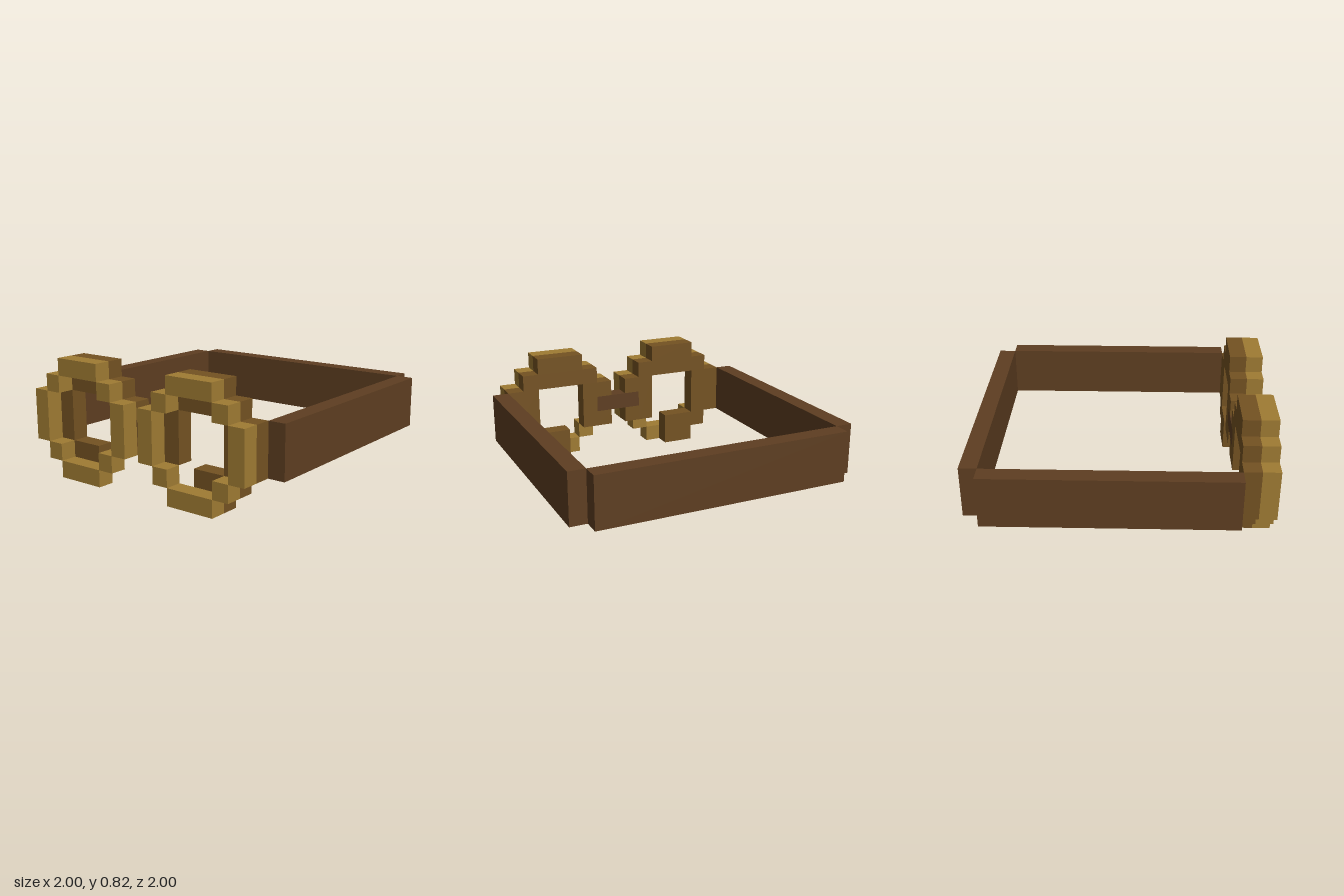
import * as THREE from 'three';

const U = 2 / 17; // edge of one block

const mat = (name, color) => {
  const m = new THREE.MeshStandardMaterial({ color });
  m.name = name;
  return m;
};

// Box from block limits: x0..x1, y0..y1, z0..z1
function block(name, material, x0, x1, y0, y1, z0, z1) {
  const mesh = new THREE.Mesh(
    new THREE.BoxGeometry((x1 - x0) * U, (y1 - y0) * U, (z1 - z0) * U), material);
  mesh.position.set((x0 + x1) / 2 * U, (y0 + y1) / 2 * U, (z0 + z1) / 2 * U);
  mesh.name = name;
  return mesh;
}

export function createModel() {
  const brass = mat('brass', 0x9f7b33);
  const darkBrass = mat('darkBrass', 0x745222);
  const leather = mat('leather', 0x5e3e21);

  // Each entry is x0, x1, y0, y1 for the model's left eyepiece
  const outerRim = [
    [2.5, 5.5, 6, 7], [2.5, 5.5, 0, 1],
    [0.5, 1.5, 2, 5], [6.5, 7.5, 2, 5],
    [1.5, 2.5, 5, 6], [5.5, 6.5, 5, 6],
    [1.5, 2.5, 1, 2], [5.5, 6.5, 1, 2],
  ];
  // Inner frame, open at its lower inner corner and notched for the bridge
  const innerFrame = [
    [2.5, 5.5, 6, 7], [1.5, 6.5, 5, 6],
    [1.5, 2.5, 2, 5], [5.5, 7.5, 2, 5],
    [0.5, 1.5, 4, 5], [0.5, 1.5, 2, 3],
    [3.5, 6.5, 1, 2], [3.5, 5.5, 0, 1],
  ];

  const model = new THREE.Group();
  model.name = 'goggles';
  for (const s of [1, -1]) {
    const side = s > 0 ? 'left' : 'right';
    const eyepiece = new THREE.Group();
    eyepiece.name = side + 'Eyepiece';
    const add = (name, m, [a, b, y0, y1], z0, z1) =>
      eyepiece.add(block(name, m, Math.min(s * a, s * b), Math.max(s * a, s * b), y0, y1, z0, z1));
    outerRim.forEach(r => add('outerRim', brass, r, 7.5, 8.5));
    innerFrame.forEach(r => add('innerFrame', darkBrass, r, 6.5, 7.5));
    model.add(eyepiece);

    // Side strap
    model.add(block(side + 'Strap', leather, s * 8 - 0.5, s * 8 + 0.5, 2, 5, -7.5, 6.5));
  }
  model.add(block('bridge', leather, -1.5, 1.5, 3, 4, 6.5, 7.5));
  model.add(block('backStrap', leather, -7.5, 7.5, 2, 5, -8.5, -7.5));
  return model;
}
